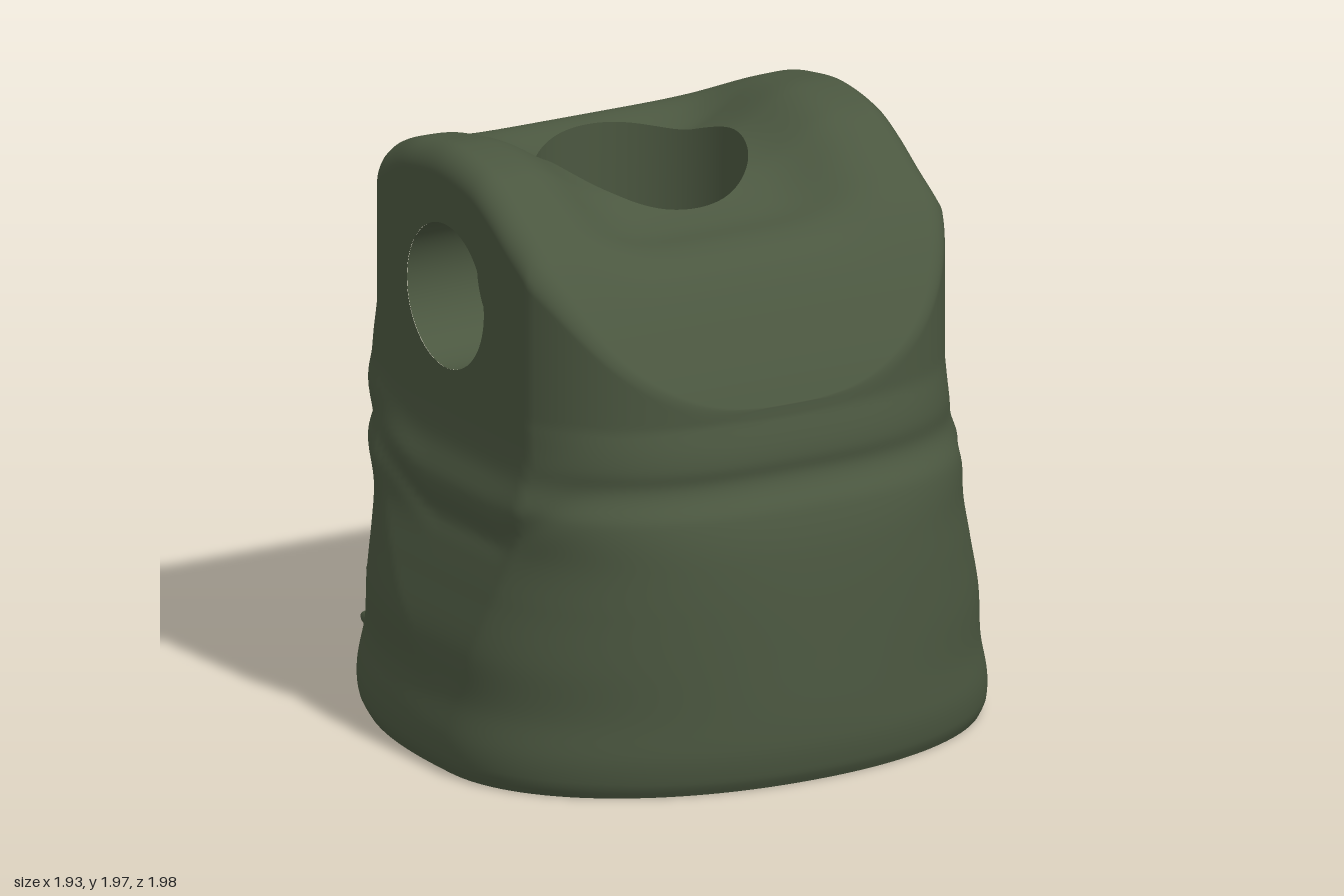
import * as THREE from 'three';
import { toCreasedNormals } from 'three/addons/utils/BufferGeometryUtils.js';

const skin = new THREE.MeshStandardMaterial({ color: 0x4b5740 });
const skinInside = new THREE.MeshStandardMaterial({ color: 0x4b5740, side: THREE.DoubleSide });
const { smoothstep, lerp } = THREE.MathUtils;
const N = 240; // points per ring

// Smooth curve through [position, value] pairs
function curve(pts) {
  const slope = pts.map((p, i) => {
    const a = pts[Math.max(0, i - 1)], b = pts[Math.min(pts.length - 1, i + 1)];
    return (b[1] - a[1]) / (b[0] - a[0]);
  });
  return (t) => {
    if (t <= pts[0][0]) return pts[0][1];
    const i = pts.findIndex((p) => p[0] >= t);
    if (i < 0) return pts[pts.length - 1][1];
    const [x0, y0] = pts[i - 1], [x1, y1] = pts[i], h = x1 - x0, u = (t - x0) / h;
    const s = u * u * (3 - 2 * u);
    return lerp(y0, y1, s) + h * u * (1 - u) * ((1 - u) * slope[i - 1] - u * slope[i]);
  };
}

// Half width, front and back depth by height; shoulder height by depth
const halfWidth = curve([[0, 0.945], [0.04, 0.962], [0.12, 0.962], [0.25, 0.935], [0.42, 0.92], [0.6, 0.872],
  [0.75, 0.832], [0.9, 0.82], [1, 0.79], [1.1, 0.778], [1.2, 0.775]]);
const frontZ = curve([[0, 0.965], [0.04, 0.985], [0.15, 1], [0.4, 0.99], [0.75, 0.96], [0.9, 0.925],
  [0.97, 0.882], [1.01, 0.87], [1.06, 0.874], [1.12, 0.866], [1.2, 0.845]]);
const backZ = curve([[0, -0.87], [0.05, -0.91], [0.15, -0.92], [0.3, -0.89], [0.5, -0.82], [0.7, -0.755],
  [0.9, -0.74], [1.1, -0.725], [1.23, -0.705], [1.35, -0.67]]);
const shoulderY = curve([[-0.67, 1.49], [-0.655, 1.6], [-0.62, 1.69], [-0.57, 1.76], [-0.52, 1.83], [-0.35, 1.915],
  [-0.2, 1.95], [-0.05, 1.965], [0.14, 1.937], [0.25, 1.885], [0.36, 1.815], [0.475, 1.742], [0.57, 1.655],
  [0.65, 1.555], [0.73, 1.435], [0.8, 1.32], [0.845, 1.23]]);

const NECK = { z: -0.08, r: 0.34, floor: 1.5 };
const ARM = { y: 1.488, z: -0.01, r: 0.24, x: 0.774 };
const CAVITY = { z: 0.05, r: 0.82 };

// Outline at a height: w is the flat side, wide the curve that it cuts
function sectionShape(y) {
  const t = smoothstep(y, 0.2, 1.2), zc = lerp(0.3, 0, t), w = halfWidth(y);
  return { w, wide: w * lerp(1, 1.08, t), zc, f: frontZ(y) - zc, b: zc - backZ(y), nf: lerp(2.1, 3, t), nb: lerp(2.5, 3.4, t) };
}
const topShape = sectionShape(1.5);

// Point on the outline at a height, in direction a
function section(a, y) {
  const { w, wide, zc, f, b, nf, nb } = sectionShape(y), c = Math.cos(a), s = Math.sin(a);
  const n = s > 0 ? nf : nb, d = s > 0 ? f : b;
  const r = Math.pow(Math.pow(Math.abs(c) / wide, n) + Math.pow(Math.abs(s) / d, n), -1 / n);
  const k = Math.min(r, w / Math.max(Math.abs(c), 1e-6));
  return { x: k * c, z: zc + k * s };
}

// Height of the upper surface: shoulders with a hollow for the neck and rounded edges
function topHeight(x, z) {
  const { w, wide, f, b, nf, nb } = topShape, n = z > 0 ? nf : nb;
  const reach = Math.max(0, 1 - Math.pow(Math.abs(z) / (z > 0 ? f : b), n));
  const bound = Math.min(w, wide * Math.pow(reach, 1 / n));
  const R = 0.09 + 0.04 * smoothstep(-z, 0.25, 0.5) - 0.06 * smoothstep(z, 0.4, 0.8);
  const e = Math.min(R, Math.max(0, Math.abs(x) - bound + R));
  const depth = 0.15 * smoothstep(z, -0.55, -0.25) * (1 - smoothstep(z, 0.24, 0.65));
  return shoulderY(z) - depth * Math.exp(-Math.pow(Math.abs(x) / 0.45, 5)) - (R - Math.sqrt(R * R - e * e));
}

// Skin folds: a soft one around the waist, arched ones on the back
function foldDepth(a, y, x) {
  const s = Math.sin(a), bell = (d, w) => Math.exp(-(d * d) / (w * w));
  const waist = s > 0 ? lerp(0.78, 1, smoothstep(s, 0.3, 0.8)) : lerp(0.78, 0.98, smoothstep(-s, 0.1, 0.7));
  const sides = (1 - smoothstep(-s, 0.5, 0.85)) * lerp(1, 0.15, smoothstep(s, 0.4, 0.85));
  const back = smoothstep(-s, 0.35, 0.75), arch = 0.35 * Math.sqrt(x * x + 0.02);
  return sides * (-0.012 * bell(y - waist, 0.045) + 0.006 * bell(y - waist - 0.1, 0.07))
    + back * (-0.012 * bell(y - 1.27 + arch, 0.04) + 0.012 * bell(y - 1.36 + arch, 0.05));
}

// Surface through closed rings; trim() gives the rim point for those in an opening
function loft(rows, trim) {
  const pos = rows.flatMap((row) => row.flatMap((p) => p)), index = [];
  const n = rows[0].length, inside = rows.flatMap((row) => row.map((p) => (trim ? trim(p) : null)));
  const used = new Set();
  const tri = (...t) => {
    if (t.every((i) => inside[i])) return;
    t.forEach((i) => used.add(i));
    index.push(...t);
  };
  for (let j = 0; j < rows.length - 1; j++) {
    for (let i = 0; i < n; i++) {
      const a = j * n + i, b = j * n + ((i + 1) % n), c = a + n, d = b + n;
      tri(a, c, b);
      tri(b, c, d);
    }
  }
  used.forEach((i) => inside[i] && inside[i].forEach((v, k) => { pos[i * 3 + k] = v; }));
  const g = new THREE.BufferGeometry();
  g.setAttribute('position', new THREE.Float32BufferAttribute(pos, 3));
  g.setIndex(index);
  g.computeVertexNormals();
  return g;
}

// Points within an arm opening move out to its rim
function armOpening([x, y, z]) {
  const d = Math.hypot(y - ARM.y, z - ARM.z);
  if (Math.abs(x) < 0.7 || d >= ARM.r) return null;
  const k = ARM.r / Math.max(d, 1e-6);
  return [x, ARM.y + (y - ARM.y) * k, ARM.z + (z - ARM.z) * k];
}

function mesh(name, geometry, material = skin) {
  const m = new THREE.Mesh(geometry, material);
  m.name = name;
  return m;
}

// Stepped round recess from [radius, height] pairs
function recess(name, profile) {
  const g = new THREE.LatheGeometry(profile.map((p) => new THREE.Vector2(...p)), 72);
  return mesh(name, toCreasedNormals(g, 0.6), skinInside);
}

export function createModel() {
  const model = new THREE.Group();
  model.name = 'torso';
  const angles = Array.from({ length: N }, (_, i) => (i / N) * Math.PI * 2);
  const ring = (r, z, height) => angles.map((a) => {
    const px = r * Math.cos(a), pz = z + r * Math.sin(a);
    return [px, height(px, pz), pz];
  });

  // Body walls, then the top surface closing in on the neck
  const edges = angles.map((a) => {
    const p = section(a, 1.5);
    return { ...p, y: topHeight(p.x, p.z) };
  });
  const rows = [], WALL = 90, TOP = 56;
  for (let j = 0; j <= WALL; j++) {
    rows.push(angles.map((a, i) => {
      const y = (edges[i].y * j) / WALL, p = section(a, y);
      const d = foldDepth(a, y, p.x) * (1 - smoothstep(y, edges[i].y - 0.12, edges[i].y));
      return [p.x + d * Math.cos(a), y, p.z + d * Math.sin(a)];
    }));
  }
  for (let j = 1; j <= TOP; j++) {
    const s = Math.pow(j / TOP, 1.8);
    rows.push(angles.map((a, i) => {
      const x = lerp(edges[i].x, NECK.r * Math.cos(a), s);
      const z = lerp(edges[i].z, NECK.z + NECK.r * Math.sin(a), s);
      return [x, topHeight(x, z), z];
    }));
  }
  model.add(mesh('body', loft(rows, armOpening)));

  // Neck socket
  model.add(mesh('neckWall', loft([ring(NECK.r, NECK.z, topHeight), ring(NECK.r, NECK.z, () => NECK.floor)])));
  const neck = recess('neckSocketFloor', [[NECK.r, NECK.floor], [0.16, NECK.floor], [0.16, 1.38], [0, 1.38]]);
  neck.position.z = NECK.z;
  model.add(neck);

  // Arm sockets
  for (const side of [1, -1]) {
    const arm = recess(side > 0 ? 'leftArmSocket' : 'rightArmSocket',
      [[ARM.r, 0], [ARM.r, -0.26], [0.155, -0.26], [0.155, -0.38], [0, -0.38]]);
    arm.rotation.z = -side * Math.PI / 2;
    arm.position.set(side * ARM.x, ARM.y, ARM.z);
    model.add(arm);
  }

  // Underside rim and stepped cavity
  model.add(mesh('bottomRim', loft([ring(CAVITY.r, CAVITY.z, () => 0), rows[0]])));
  const cavity = recess('bottomCavity', [[CAVITY.r, 0], [CAVITY.r, 0.47], [0.6, 0.47], [0.6, 0.66], [0, 0.66]]);
  cavity.position.z = CAVITY.z;
  model.add(cavity);

  // Small blunt spikes over the lower back, as [height, distances from the middle]
  const spikes = new THREE.Group();
  spikes.name = 'backSpikes';
  const spike = new THREE.LatheGeometry([[0.062, -0.03], [0.048, 0.005], [0.034, 0.028], [0.024, 0.05], [0.013, 0.063], [0, 0.068]]
    .map((p) => new THREE.Vector2(...p)), 14);
  const layout = [[1.17, [0]], [0.99, [0.2]], [0.87, [0, 0.4]], [0.69, [0.2, 0.54]], [0.55, [0, 0.38]],
    [0.5, [0.59]], [0.38, [0.2, 0.46]], [0.34, [0.6]], [0.22, [0, 0.38]], [0.17, [0.6]], [0.1, [0.2]]];
  for (const [y, xs] of layout) {
    for (const x of xs.flatMap((v) => (v ? [v, -v] : [0]))) {
      const { wide, zc, b, nb } = sectionShape(y);
      const z = zc - b * Math.pow(1 - Math.pow(Math.abs(x) / wide, nb), 1 / nb);
      const m = mesh('spike', spike);
      m.position.set(x, y, z);
      m.scale.setScalar(lerp(1, 0.8, Math.abs(x) / 0.6));
      m.quaternion.setFromUnitVectors(new THREE.Vector3(0, 1, 0), new THREE.Vector3(x * 0.5, 0.15, -1).normalize());
      spikes.add(m);
    }
  }
  model.add(spikes);
  return model;
}
